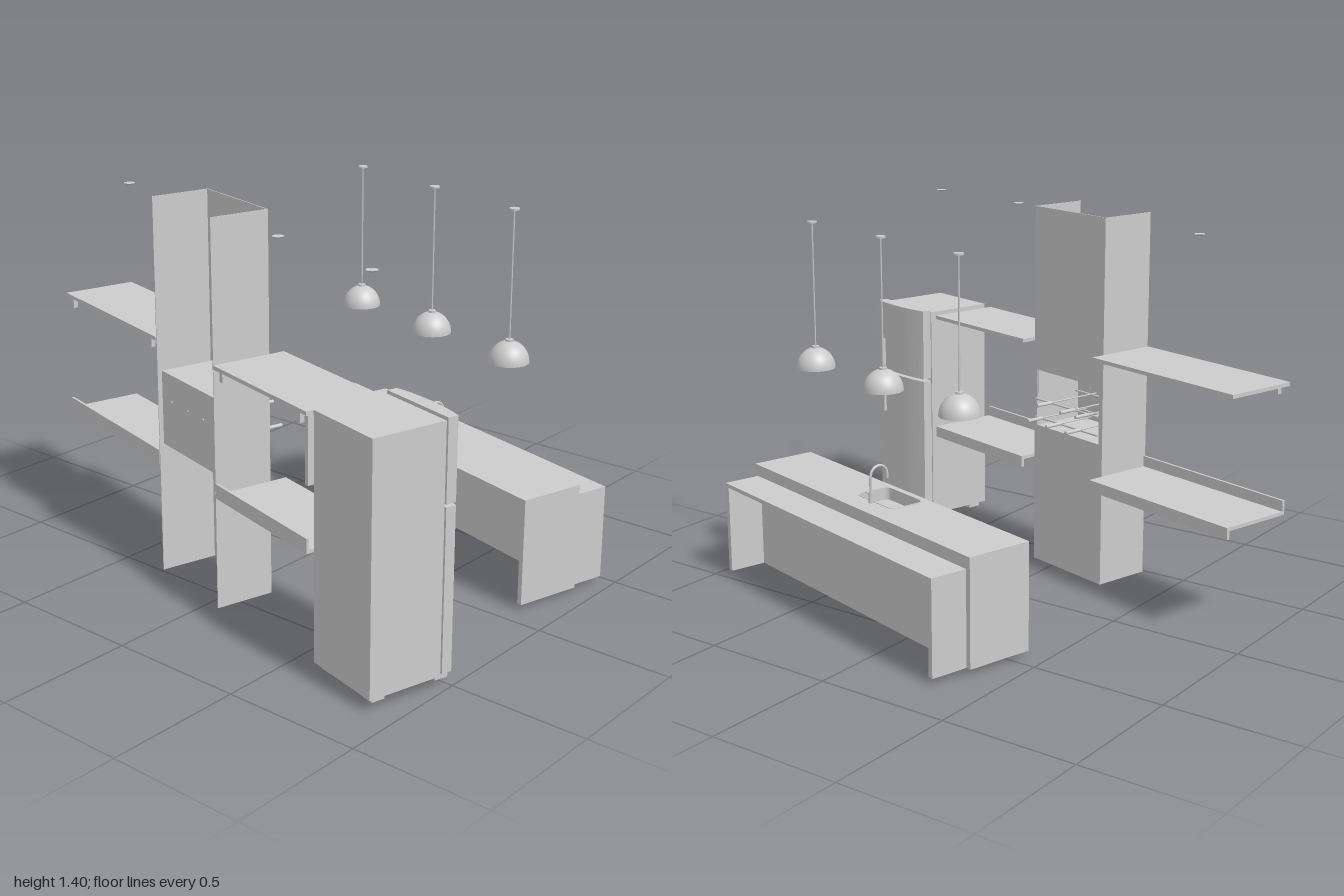
import * as THREE from 'three';

const grey = new THREE.MeshStandardMaterial({ color: 0xcccccc, side: THREE.DoubleSide });

function add(parent, name, geometry) {
  const mesh = new THREE.Mesh(geometry, grey);
  mesh.name = name;
  parent.add(mesh);
  return mesh;
}

function group(parent, name) {
  const g = new THREE.Group();
  g.name = name;
  parent.add(g);
  return g;
}

// Box given by its minimum and maximum on each axis
function box(parent, name, x0, x1, y0, y1, z0, z1) {
  const geo = new THREE.BoxGeometry(x1 - x0, y1 - y0, z1 - z0);
  geo.translate((x0 + x1) / 2, (y0 + y1) / 2, (z0 + z1) / 2);
  return add(parent, name, geo);
}

// Upright or lying round bar between two points
function rod(parent, name, a, b, r, sides = 10) {
  const p = new THREE.Vector3(...a), q = new THREE.Vector3(...b);
  const mesh = add(parent, name, new THREE.CylinderGeometry(r, r, p.distanceTo(q), sides));
  mesh.position.copy(p).lerp(q, 0.5);
  mesh.quaternion.setFromUnitVectors(new THREE.Vector3(0, 1, 0), q.sub(p).normalize());
  return mesh;
}

function rect(path, x0, x1, y0, y1) {
  path.moveTo(x0, y0);
  path.lineTo(x1, y0);
  path.lineTo(x1, y1);
  path.lineTo(x0, y1);
  path.closePath();
  return path;
}

function roundRect(path, x0, x1, y0, y1, r) {
  path.moveTo(x0 + r, y0);
  path.lineTo(x1 - r, y0);
  path.quadraticCurveTo(x1, y0, x1, y0 + r);
  path.lineTo(x1, y1 - r);
  path.quadraticCurveTo(x1, y1, x1 - r, y1);
  path.lineTo(x0 + r, y1);
  path.quadraticCurveTo(x0, y1, x0, y1 - r);
  path.lineTo(x0, y0 + r);
  path.quadraticCurveTo(x0, y0, x0 + r, y0);
  return path;
}

// Plan outline (x, -z) raised from y0 to y1
function raise(shape, y0, y1) {
  const geo = new THREE.ExtrudeGeometry(shape, { depth: y1 - y0, bevelEnabled: false, curveSegments: 10 });
  return geo.rotateX(-Math.PI / 2).translate(0, y0, 0);
}

function buildIsland(root) {
  const island = group(root, 'island');
  const top = rect(new THREE.Shape(), -0.53, 0.815, 0.308, 0.56);
  top.holes.push(roundRect(new THREE.Path(), 0.03, 0.25, 0.335, 0.47, 0.025));
  add(island, 'islandTop', raise(top, 0.392, 0.415));
  box(island, 'islandBackPanel', -0.51, 0.795, 0.02, 0.392, -0.56, -0.545);
  box(island, 'islandLeftEnd', 0.795, 0.815, 0.02, 0.392, -0.56, -0.308);
  box(island, 'islandRightEnd', -0.53, -0.51, 0.02, 0.392, -0.56, -0.308);

  // Lower breakfast bar behind the island
  box(island, 'barTop', -0.51, 0.797, 0.355, 0.37, -0.702, -0.56);
  box(island, 'barLeftEnd', 0.777, 0.797, 0.02, 0.355, -0.702, -0.56);
  box(island, 'barRightEnd', -0.51, -0.49, 0.02, 0.355, -0.702, -0.56);

  // Sink bowl
  const rim = roundRect(new THREE.Shape(), 0.026, 0.254, 0.331, 0.474, 0.028);
  rim.holes.push(roundRect(new THREE.Path(), 0.03, 0.25, 0.335, 0.47, 0.025));
  add(island, 'sinkWall', raise(rim, 0.37, 0.417));
  add(island, 'sinkFloor', raise(roundRect(new THREE.Shape(), 0.026, 0.254, 0.331, 0.474, 0.028), 0.365, 0.37));

  // Gooseneck tap
  const tap = group(island, 'tap');
  const pts = [[0.415, -0.485], [0.505, -0.485]];
  for (let i = 1; i <= 8; i++) {
    const a = Math.PI * i / 8;
    pts.push([0.51 + 0.037 * Math.sin(a), -0.449 - 0.036 * Math.cos(a)]);
  }
  pts.push([0.495, -0.412]);
  const curve = new THREE.CatmullRomCurve3(pts.map(([y, z]) => new THREE.Vector3(0.14, y, z)));
  add(tap, 'tapSpout', new THREE.TubeGeometry(curve, 40, 0.005, 10));
  rod(tap, 'tapBase', [0.14, 0.415, -0.485], [0.14, 0.455, -0.485], 0.009, 16);
  rod(tap, 'tapLever', [0.14, 0.442, -0.485], [0.168, 0.45, -0.485], 0.004);
}

function buildChimney(root) {
  const chimney = group(root, 'chimney');
  // Face with the grill opening, and two thin side walls
  const face = rect(new THREE.Shape(), -0.185, 0.203, 0, 1.4);
  face.holes.push(rect(new THREE.Path(), -0.165, 0.188, 0.55, 0.77));
  add(chimney, 'chimneyFace',
    new THREE.ExtrudeGeometry(face, { depth: 0.004, bevelEnabled: false }).translate(0, 0, 0.333));
  for (const x of [-0.185, 0.2]) box(chimney, 'chimneySide', x, x + 0.003, 0, 1.4, 0.333, 0.556);

  // Grill box, open on the chimney face
  const grill = group(root, 'grill');
  box(grill, 'grillRear', -0.167, 0.19, 0.5, 0.775, 0.543, 0.547);
  box(grill, 'grillRoof', -0.167, 0.19, 0.771, 0.775, 0.333, 0.547);
  box(grill, 'grillFloor', -0.167, 0.19, 0.5, 0.55, 0.337, 0.543);
  for (const x of [-0.167, 0.187]) box(grill, 'grillSide', x, x + 0.003, 0.5, 0.775, 0.337, 0.547);
  for (const x of [-0.1, 0.012, 0.115]) rod(grill, 'grillPin', [x, 0.675, 0.54], [x, 0.675, 0.551], 0.004);
  for (const y of [0.585, 0.657]) {
    for (const z of [0.327, 0.53]) rod(grill, 'skewerRail', [-0.165, y, z], [0.188, y, z], 0.004);
  }

  // Skewers with thick handles on two levels
  [-0.144, -0.09, -0.06, 0.02, 0.072, 0.127].forEach((x, i) => {
    const y = i % 2 ? 0.595 : 0.667;
    rod(grill, 'skewer', [x, y, 0.535], [x, y, 0.29], 0.003, 6);
    rod(grill, 'skewerHandle', [x, y, 0.305], [x, y, 0.235], 0.007, 8);
  });
}

// Wall counter with upstand and fascia, and a bracketed shelf above
function buildWallRun(root, side, x0, x1) {
  const run = group(root, side + 'WallRun');
  box(run, 'counter', x0, x1, 0.417, 0.43, 0.272, 0.557);
  box(run, 'counterFascia', x0, x1, 0.387, 0.43, 0.27, 0.282);
  box(run, 'counterUpstand', x0, x1, 0.417, 0.47, 0.547, 0.557);
  box(run, 'shelf', x0, x1, 0.882, 0.896, 0.275, 0.557);
  for (const x of [x0 + 0.045, x1 - 0.045]) {
    box(run, 'shelfBracketArm', x - 0.009, x + 0.009, 0.868, 0.882, 0.49, 0.555);
    box(run, 'shelfBracketFoot', x - 0.009, x + 0.009, 0.848, 0.882, 0.538, 0.555);
  }
}

function buildFridge(root) {
  const fridge = group(root, 'fridge');
  box(fridge, 'fridgeBody', 0.782, 1.087, 0.043, 0.907, 0.268, 0.545);
  // Two doors with a gently bowed front
  const door = new THREE.Shape();
  door.moveTo(0.78, -0.263);
  door.lineTo(1.089, -0.263);
  door.lineTo(1.089, -0.225);
  door.quadraticCurveTo(0.935, -0.195, 0.78, -0.225);
  door.closePath();
  add(fridge, 'lowerDoor', raise(door, 0.05, 0.622));
  add(fridge, 'upperDoor', raise(door, 0.632, 0.916));
  box(fridge, 'lowerHandle', 1.035, 1.05, 0.45, 0.605, 0.205, 0.222);
  box(fridge, 'upperHandle', 1.035, 1.05, 0.645, 0.76, 0.205, 0.222);
  for (const x of [0.8, 1.025]) {
    for (const z of [0.225, 0.475]) box(fridge, 'fridgeFoot', x, x + 0.045, 0.022, 0.05, z, z + 0.05);
  }
}

function buildLights(root) {
  // Domed pendants over the island
  const profile = [];
  for (let i = 0; i <= 14; i++) {
    const a = Math.PI / 2 * i / 14;
    profile.push(new THREE.Vector2(0.072 * Math.cos(a), 0.825 + 0.077 * Math.sin(a)));
  }
  for (const x of [-0.313, 0.128, 0.563]) {
    const lamp = group(root, 'pendantLamp');
    add(lamp, 'lampShade', new THREE.LatheGeometry(profile, 32));
    rod(lamp, 'lampCap', [0, 0.898, 0], [0, 0.908, 0], 0.014, 20);
    rod(lamp, 'lampCord', [0, 0.905, 0], [0, 1.37, 0], 0.003, 8);
    rod(lamp, 'ceilingRose', [0, 1.367, 0], [0, 1.373, 0], 0.018, 24);
    lamp.position.set(x, 0, -0.43);
  }
  // Small ceiling spots over the wall run
  for (const x of [-0.537, 0.448, 0.95]) {
    const spot = add(root, 'ceilingSpot', new THREE.CylinderGeometry(0.02, 0.012, 0.006, 24));
    spot.position.set(x, 1.371, 0.453);
  }
}

export function createModel() {
  const model = new THREE.Group();
  model.name = 'kitchen';
  // The whole layout is turned fifteen degrees in plan
  const layout = group(model, 'layout');
  layout.rotation.y = -Math.PI / 12;
  buildIsland(layout);
  buildChimney(layout);
  buildWallRun(layout, 'right', -0.886, -0.187);
  buildWallRun(layout, 'left', 0.205, 0.758);
  buildFridge(layout);
  buildLights(layout);
  return model;
}
